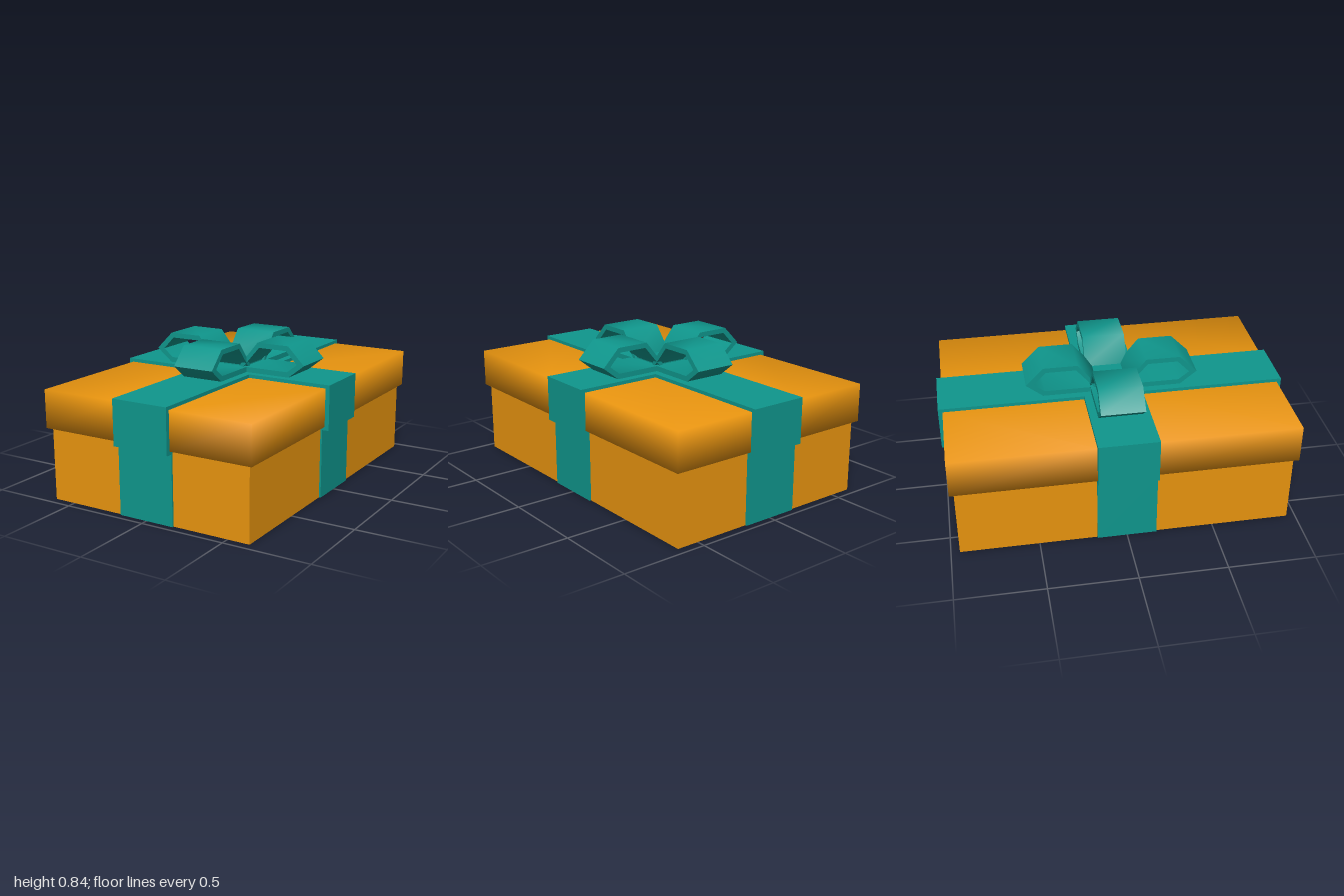
import * as THREE from 'three';
import { mergeVertices, toCreasedNormals } from 'three/addons/utils/BufferGeometryUtils.js';

const BODY = { x: 0.63, z: 0.95 };   // half sizes
const LID = { x: 0.655, z: 0.975 };
const RIBBON = 0.17;                 // half width of the straps
const BOW = 0.125;                   // half width of the bow loops

// Extrude a side profile, centred across its width
function band(points, halfWidth, hole) {
  const shape = new THREE.Shape(points.map(p => new THREE.Vector2(...p)));
  if (hole) shape.holes.push(new THREE.Path(hole.map(p => new THREE.Vector2(...p))));
  const g = new THREE.ExtrudeGeometry(shape, { depth: halfWidth * 2, bevelEnabled: false });
  return g.translate(0, 0, -halfWidth);
}

// Box with softly shaded edges and extra cuts along the ribbon
function softBox(hx, y0, y1, hz) {
  const g = new THREE.BoxGeometry(2 * hx, y1 - y0, 2 * hz, 3, 1, 3);
  const p = g.attributes.position;
  for (let i = 0; i < p.count; i++) {
    if (Math.abs(p.getX(i)) < hx * 0.9) p.setX(i, Math.sign(p.getX(i)) * RIBBON);
    if (Math.abs(p.getZ(i)) < hz * 0.9) p.setZ(i, Math.sign(p.getZ(i)) * RIBBON);
  }
  g.deleteAttribute('normal');
  g.deleteAttribute('uv');
  const soft = mergeVertices(g, 1e-4);
  soft.computeVertexNormals();
  return soft.translate(0, (y0 + y1) / 2, 0);
}

// Stepped strap running over the lid and down both sides of the body
function strap(body, lid) {
  const side = [[body, 0.64], [body, 0], [body + 0.01, 0], [body + 0.01, 0.4], [lid + 0.025, 0.4], [lid + 0.025, 0.66]];
  const mirrored = side.map(([x, y]) => [-x, y]).reverse();
  return band([...side, ...mirrored], RIBBON);
}

export function createModel() {
  const group = new THREE.Group();
  const orange = new THREE.MeshStandardMaterial({ color: 0xe8940f });
  orange.name = 'orange card';
  const teal = new THREE.MeshStandardMaterial({ color: 0x0f968c });
  teal.name = 'teal ribbon';

  const add = (name, geometry, material, turn = 0) => {
    const mesh = new THREE.Mesh(geometry, material);
    mesh.name = name;
    mesh.rotation.y = turn;
    group.add(mesh);
    return mesh;
  };

  // Box and lid
  add('boxBody', new THREE.BoxGeometry(2 * BODY.x, 0.44, 2 * BODY.z).translate(0, 0.22, 0), orange);
  add('lid', softBox(LID.x, 0.42, 0.64, LID.z), orange);

  // Crossing straps
  add('ribbonAcross', strap(BODY.x, LID.x), teal);
  add('ribbonLengthwise', strap(BODY.z, LID.z), teal, Math.PI / 2);

  // Four hollow bow loops around a low knot
  const outer = [[0.085, 0.66], [0.4, 0.66], [0.497, 0.737], [0.395, 0.84], [0.198, 0.84], [0.085, 0.702]];
  const inner = [[0.105, 0.69], [0.39, 0.69], [0.452, 0.738], [0.382, 0.811], [0.208, 0.811]];
  const loop = toCreasedNormals(band(outer, BOW, inner), 1.1);
  for (let i = 0; i < 4; i++) add('bowLoop' + (i + 1), loop, teal, i * Math.PI / 2);
  add('bowKnot', new THREE.BoxGeometry(0.22, 0.045, 0.22).translate(0, 0.68, 0), teal);

  return group;
}
